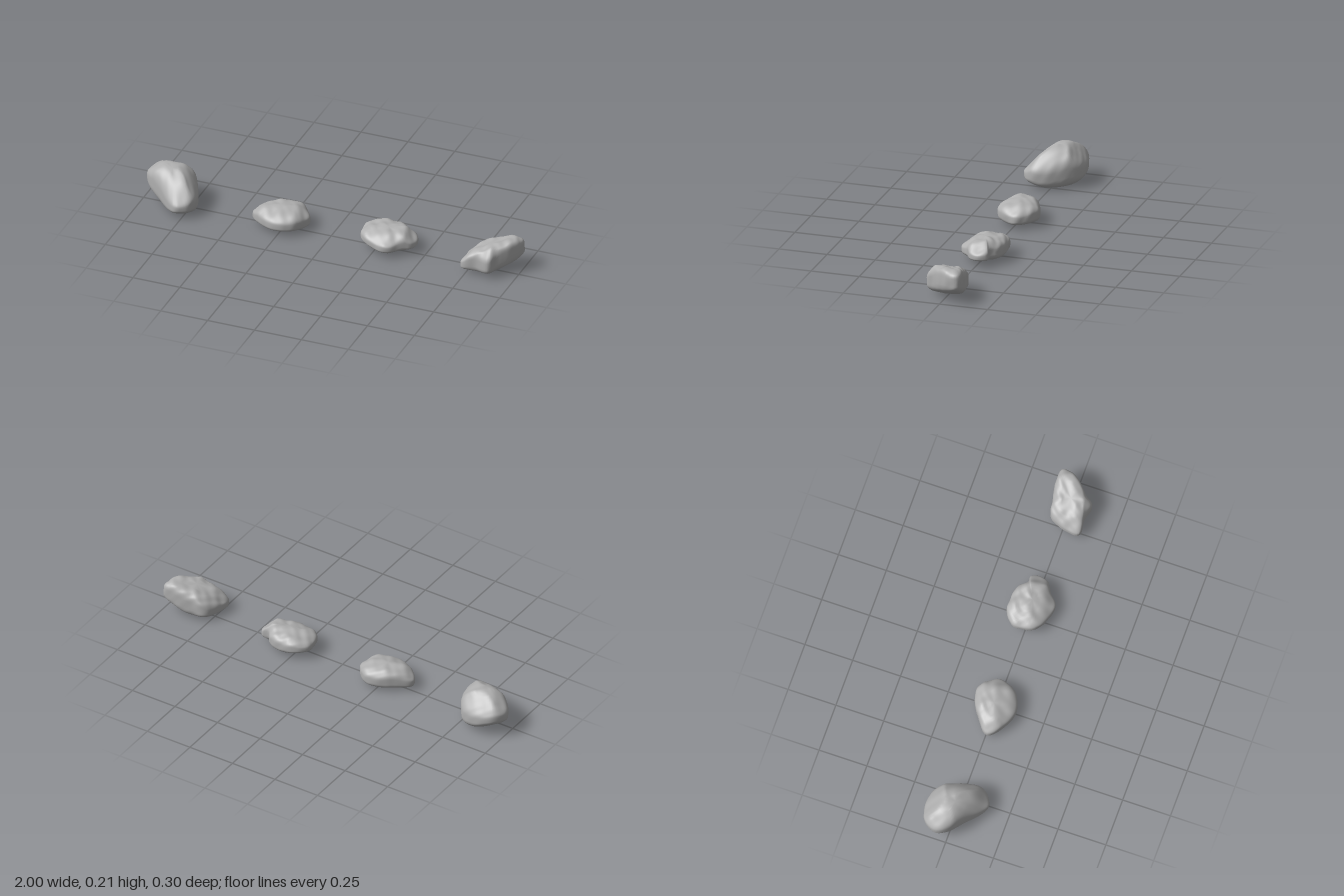
import * as THREE from 'three';
import { mergeVertices } from 'three/addons/utils/BufferGeometryUtils.js';

const COLUMNS = 64, ROWS = 32;
const UNDERSIDE_ROUNDNESS = 4.2;

// Each rock: plan outline [x, z], and evenly spaced heights from left to right and from back to front
const ROCKS = [
  { // broad boulder sloping down to the front
    name: 'largeBoulder', bump: 0.002, undercut: 0.03, roundness: 3,
    outline: [[-0.88, -0.15], [-0.79, -0.13], [-0.73, -0.05], [-0.695, 0.05], [-0.713, 0.115],
      [-0.77, 0.146], [-0.81, 0.128], [-0.89, 0.062], [-0.965, 0.008], [-1, -0.05], [-0.975, -0.115]],
    topAlongX: [0.16, 0.196, 0.207, 0.187, 0.13], topAlongZ: [0.145, 0.207, 0.177, 0.095], base: [0.06, 0, 0],
  },
  { // low flat stone
    name: 'flatStone', bump: 0.003, undercut: 0.008, roundness: 3.2,
    outline: [[-0.415, 0.01], [-0.36, -0.05], [-0.265, -0.107], [-0.195, -0.11], [-0.122, -0.02],
      [-0.175, 0.08], [-0.265, 0.108], [-0.36, 0.07]],
    topAlongX: [0.082, 0.112, 0.118, 0.116, 0.09], topAlongZ: [0.105, 0.119, 0.112, 0.09], base: [0.012, 0.01, 0.012],
  },
  { // knobbly stone with a lower lobe on one side
    name: 'knobblyStone', bump: 0.004, undercut: 0.01, roundness: 3.2,
    outline: [[0.163, 0], [0.165, -0.06], [0.21, -0.107], [0.295, -0.116], [0.37, -0.095], [0.402, -0.058],
      [0.432, -0.062], [0.452, -0.015], [0.436, 0.032], [0.39, 0.06], [0.335, 0.107], [0.19, 0.06]],
    topAlongX: [0.095, 0.114, 0.118, 0.124, 0.08], topAlongZ: [0.108, 0.122, 0.11, 0.08], base: [0.035, 0.01, 0.025],
  },
  { // jagged stone rising to one end
    name: 'jaggedStone', bump: 0.004, undercut: 0.004, roundness: 4,
    outline: [[0.725, 0.09], [0.732, 0], [0.765, -0.07], [0.83, -0.086], [0.9, -0.1],
      [0.99, -0.092], [0.993, -0.04], [0.955, 0.02], [0.905, 0.07], [0.88, 0.105], [0.81, 0.092]],
    topAlongX: [0.075, 0.125, 0.15, 0.17, 0.184], topAlongZ: [0.175, 0.18, 0.175, 0.12], base: [0.012, 0.01, 0.055],
  },
];

// Smooth height profile through evenly spaced values, for t from 0 to 1
function heightProfile(heights) {
  const curve = new THREE.SplineCurve(heights.map((h, i) => new THREE.Vector2(i, h)));
  return (t) => curve.getPoint(THREE.MathUtils.clamp(t, 0, 1)).y;
}

// Gentle lumps in the surface
function lumps(x, y, z) {
  return Math.sin(47 * x + 29 * z + 1.3) * Math.sin(53 * z - 21 * x + 20 * y)
    + 0.6 * Math.sin(96 * x + 40 * y) * Math.sin(88 * z + 55 * y + 0.7);
}

function rockGeometry(rock) {
  const rim = new THREE.CatmullRomCurve3(
    rock.outline.map(([x, z]) => new THREE.Vector3(x, 0, z)), true, 'centripetal').getSpacedPoints(COLUMNS);
  const bounds = new THREE.Box3().setFromPoints(rim);
  const centre = bounds.getCenter(new THREE.Vector3());
  const size = bounds.getSize(new THREE.Vector3());
  const topX = heightProfile(rock.topAlongX);
  const topZ = heightProfile(rock.topAlongZ);
  const base = heightProfile(rock.base);
  const positions = [], indices = [];

  // Rings run from the crown, over the rim, to the underside
  for (let j = 0; j <= ROWS; j++) {
    const angle = Math.PI * j / ROWS;
    const upper = j < ROWS / 2;
    const exponent = 2 / (upper ? rock.roundness : UNDERSIDE_ROUNDNESS);
    const spread = j % ROWS === 0 ? 0 : Math.pow(Math.sin(angle), exponent);
    const lift = Math.pow(Math.abs(Math.cos(angle)), exponent);
    for (let i = 0; i < COLUMNS; i++) {
      const dx = (rim[i].x - centre.x) * spread;
      const dz = (rim[i].z - centre.z) * spread;
      const u = dx / size.x + 0.5, v = dz / size.z + 0.5;
      const top = Math.min(topX(u), topZ(v));
      const bottom = base(u) + rock.undercut * Math.pow(2 * v - 1, 2);
      const middle = (top + bottom) / 2;
      const y = middle + ((upper ? top : bottom) - middle) * lift;
      const bump = lumps(centre.x + dx, y, centre.z + dz) * rock.bump;
      const swell = 1 + bump * 4 * spread;
      positions.push(
        centre.x + dx * swell,
        Math.max(0, y + bump * lift * (upper ? 1 : 0.3)),
        centre.z + dz * swell);
    }
  }
  for (let j = 0; j < ROWS; j++) {
    for (let i = 0; i < COLUMNS; i++) {
      const a = j * COLUMNS + i, b = j * COLUMNS + (i + 1) % COLUMNS;
      const d = a + COLUMNS, e = b + COLUMNS;
      if (j < ROWS - 1) indices.push(a, e, d);
      if (j > 0) indices.push(a, b, e);
    }
  }
  const rings = new THREE.BufferGeometry();
  rings.setAttribute('position', new THREE.Float32BufferAttribute(positions, 3));
  rings.setIndex(indices);
  const geometry = mergeVertices(rings, 1e-5);
  geometry.computeVertexNormals();
  return geometry;
}

export function createModel() {
  const group = new THREE.Group();
  group.name = 'rocks';
  const stone = new THREE.MeshStandardMaterial({ color: 0xb0b0b0 });
  stone.name = 'grey stone';
  for (const rock of ROCKS) {
    const mesh = new THREE.Mesh(rockGeometry(rock), stone);
    mesh.name = rock.name;
    group.add(mesh);
  }
  return group;
}
